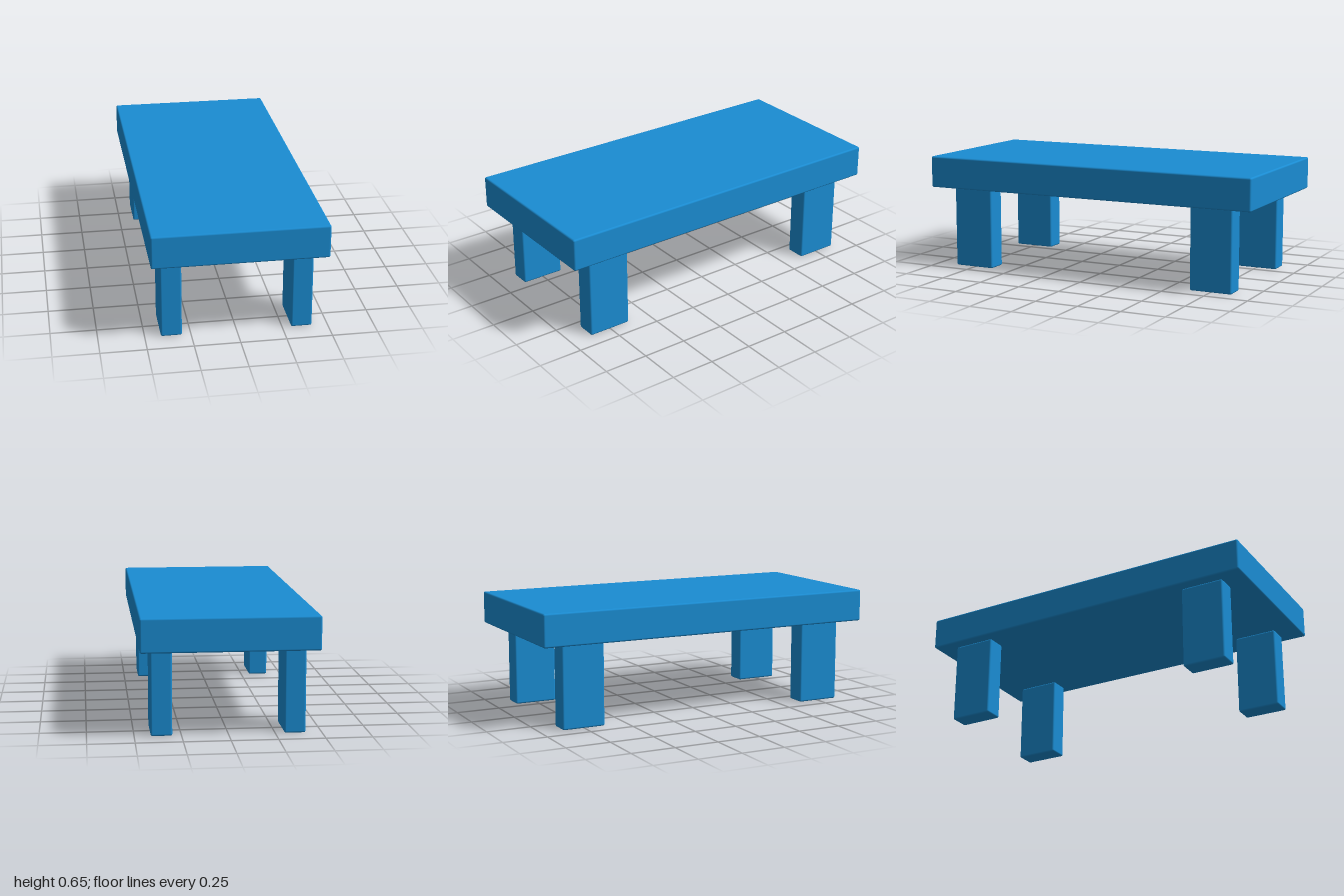
import * as THREE from 'three';
import { RoundedBoxGeometry } from 'three/addons/geometries/RoundedBoxGeometry.js';

export function createModel() {
  const model = new THREE.Group();
  model.name = 'table';
  const blue = new THREE.MeshStandardMaterial({ color: 0x1a8cd2 });

  const addBlock = (name, size, position, radius) => {
    const mesh = new THREE.Mesh(new RoundedBoxGeometry(...size, 3, radius), blue);
    mesh.name = name;
    mesh.position.set(...position);
    model.add(mesh);
  };

  // Thick slab with softened edges
  const underside = 0.468, top = 0.651;
  addBlock('tableTop', [0.945, top - underside, 2], [0, (underside + top) / 2, 0], 0.01);

  // Four blade-like legs, longer along z, meeting the underside
  for (const [side, x] of [['Left', 0.356], ['Right', -0.356]]) {
    for (const [end, z] of [['front', 0.752], ['back', -0.752]]) {
      addBlock(`${end}${side}Leg`, [0.115, underside, 0.246], [x, underside / 2, z], 0.01);
    }
  }
  return model;
}
